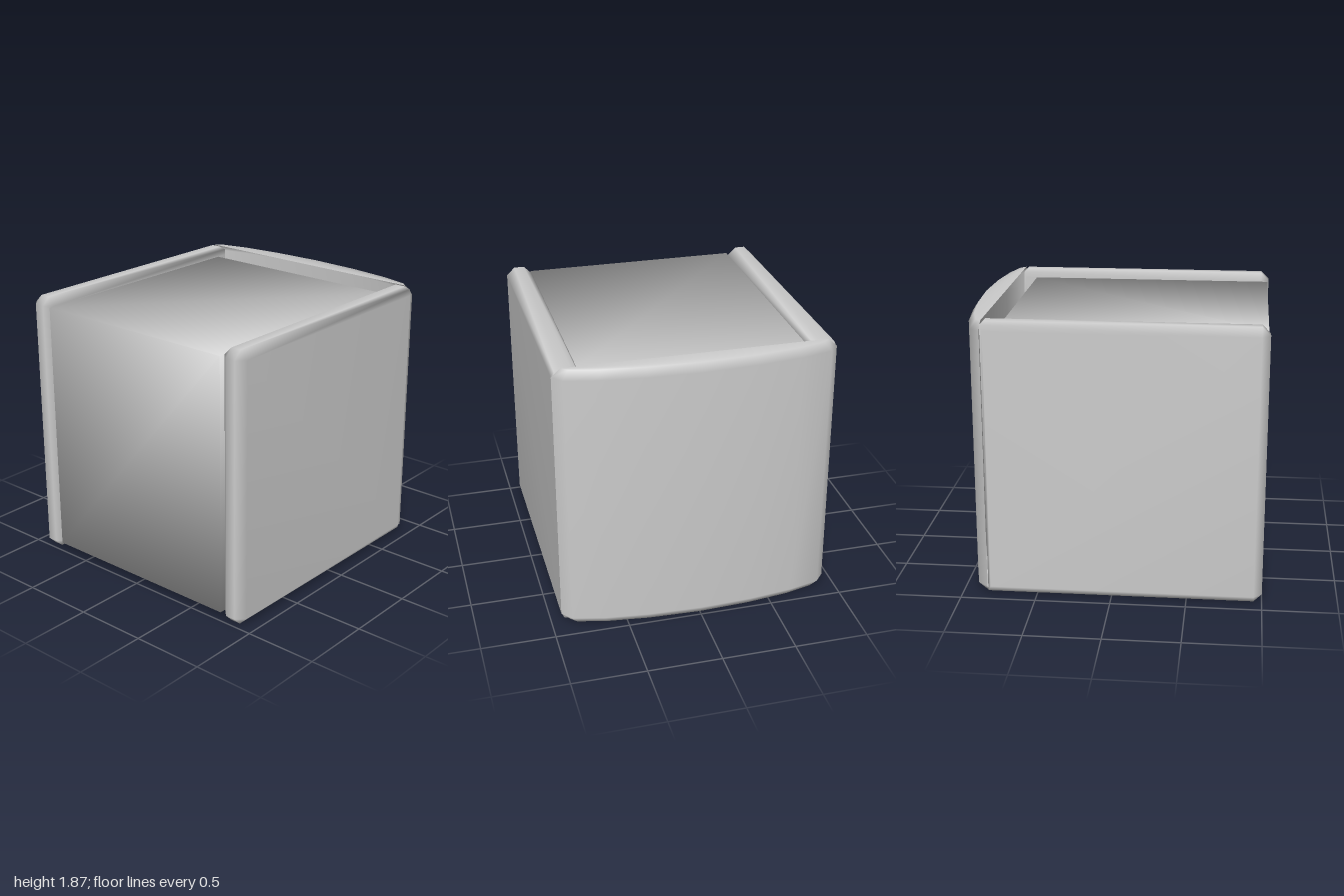
import * as THREE from 'three';
import { mergeVertices } from 'three/addons/utils/BufferGeometryUtils.js';
import { ConvexGeometry } from 'three/addons/geometries/ConvexGeometry.js';

const H = 1.87, BEVEL = 0.055;

// Weld all corners so shading runs smoothly across the edges
function smooth(geometry) {
  geometry.deleteAttribute('normal');
  if (geometry.attributes.uv) geometry.deleteAttribute('uv');
  const welded = mergeVertices(geometry, 1e-4);
  welded.computeVertexNormals();
  return welded;
}

// Slab with chamfered edges: full bevel at the front end, a finer one at the back
function slabGeometry(x0, x1, z0, z1) {
  const points = [];
  for (const [x, sx] of [[x0, 1], [x1, -1]])
    for (const [y, sy] of [[0, 1], [H, -1]])
      for (const [z, sz, c] of [[z0, 1, 0.02], [z1, -1, BEVEL]]) {
        points.push(
          new THREE.Vector3(x, y + sy * BEVEL, z + sz * c),
          new THREE.Vector3(x + sx * BEVEL, y, z + sz * c),
          new THREE.Vector3(x + sx * c, y + sy * c, z));
      }
  return smooth(new ConvexGeometry(points));
}

// Bowed shell, open towards the front, lofted through four level outlines
function bowedPanelGeometry() {
  const outer = [[0.93, -0.83], [0.87, -0.9], [0.66, -0.95], [0.36, -0.985], [0, -1]];
  const inset = [[0.87, -0.83], [0.83, -0.868], [0.64, -0.915], [0.35, -0.95], [0, -0.965]];
  const mirrored = half => [...half, ...half.slice(0, -1).reverse().map(([x, z]) => [-x, z])];
  const rings = [[0, inset], [BEVEL, outer], [H - BEVEL, outer], [H, inset]];
  const n = outer.length * 2 - 1, positions = [], index = [];
  for (const [y, half] of rings)
    for (const [x, z] of mirrored(half)) positions.push(x, y, z);
  for (let r = 0; r < 3; r++)
    for (let i = 0; i < n - 1; i++) {
      const a = r * n + i, d = a + n;
      index.push(a, a + 1, d + 1, a, d + 1, d);
    }
  // Bottom and top caps
  for (let i = 1; i < n - 1; i++) {
    index.push(0, i + 1, i);
    index.push(3 * n, 3 * n + i, 3 * n + i + 1);
  }
  const geometry = new THREE.BufferGeometry();
  geometry.setAttribute('position', new THREE.Float32BufferAttribute(positions, 3));
  geometry.setIndex(index);
  geometry.computeVertexNormals();
  return geometry;
}

export function createModel() {
  const group = new THREE.Group();
  const grey = new THREE.MeshStandardMaterial({ color: 0xcccccc });
  const greyShell = new THREE.MeshStandardMaterial({ color: 0xcccccc, side: THREE.DoubleSide });
  const add = (name, geometry, material = grey) => {
    const mesh = new THREE.Mesh(geometry, material);
    mesh.name = name;
    group.add(mesh);
  };

  // Central block, set slightly inside the panels
  const core = smooth(new THREE.BoxGeometry(1.5, 1.76, 1.72));
  core.translate(0, H / 2, 0.13);
  add('core', core);

  // Side panels
  add('leftPanel', slabGeometry(0.75, 0.93, -0.83, 1));
  add('rightPanel', slabGeometry(-0.93, -0.75, -0.83, 1));

  // Bowed back panel
  add('backPanel', bowedPanelGeometry(), greyShell);

  return group;
}
